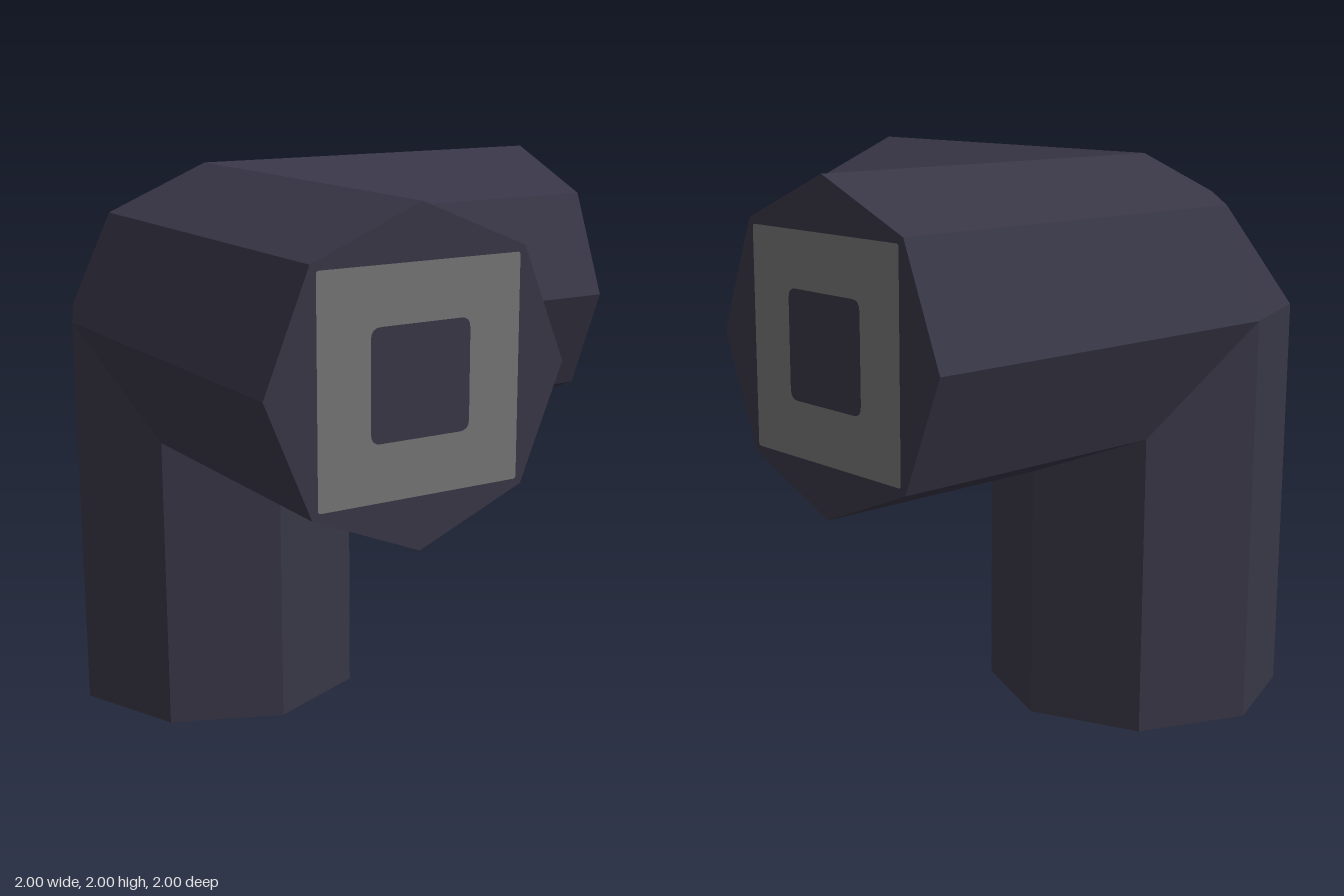
import * as THREE from 'three';
import { ConvexGeometry } from 'three/addons/geometries/ConvexGeometry.js';

const R = 0.545;                 // octagon radius
const D = R * Math.SQRT1_2;      // diagonal corner offset
const LENGTH = 2 - R;            // joint centre to arm end
const LIP = 0.002;               // frame stands just proud of the end

const darkPipe = new THREE.MeshStandardMaterial({ color: 0x383646, flatShading: true });
darkPipe.name = 'dark slate';
const greyFrame = new THREE.MeshStandardMaterial({ color: 0x747474, flatShading: true });
greyFrame.name = 'grey';

function part(name, geometry, material) {
  const mesh = new THREE.Mesh(geometry, material);
  mesh.name = name;
  return mesh;
}

// Square outline with rounded corners
function roundedSquare(path, h, r) {
  path.moveTo(-h + r, -h);
  path.lineTo(h - r, -h).quadraticCurveTo(h, -h, h, -h + r);
  path.lineTo(h, h - r).quadraticCurveTo(h, h, h - r, h);
  path.lineTo(-h + r, h).quadraticCurveTo(-h, h, -h, h - r);
  path.lineTo(-h, -h + r).quadraticCurveTo(-h, -h, -h + r, -h);
  return path;
}

// Octagonal arm pointing down, with a square frame on its end
function makeArm(name) {
  const arm = new THREE.Group();
  arm.name = name;
  const length = LENGTH - LIP;
  const pipe = new THREE.CylinderGeometry(R, R, length, 8).translate(0, -length / 2, 0);
  arm.add(part('pipe', pipe, darkPipe));

  const outline = roundedSquare(new THREE.Shape(), 0.366, 0.01);
  outline.holes.push(roundedSquare(new THREE.Path(), 0.18, 0.035));
  const frame = new THREE.ShapeGeometry(outline, 4).rotateX(Math.PI / 2).translate(0, -LENGTH, 0);
  arm.add(part('endFrame', frame, greyFrame));
  return arm;
}

export function createModel() {
  const model = new THREE.Group();
  model.name = 'threeWayPipeCorner';
  const joint = new THREE.Group();
  joint.name = 'joint';
  joint.position.set(R - 1, 2 - R, R - 1);
  model.add(joint);

  // Three arms at right angles
  const downArm = makeArm('downArm');
  const sideArm = makeArm('sideArm');
  sideArm.rotation.z = Math.PI / 2;
  const frontArm = makeArm('frontArm');
  frontArm.rotation.x = -Math.PI / 2;
  joint.add(downArm, sideArm, frontArm);

  // Faceted cap closing the outer corner between the arms
  const corner = [
    [0, 0, 0], [0, R, 0], [0, 0, -R], [-R, 0, 0],
    [0, D, -D], [-D, D, 0], [-D, 0, -D],
  ].map((p) => new THREE.Vector3(...p));
  joint.add(part('cornerCap', new ConvexGeometry(corner), darkPipe));

  return model;
}
